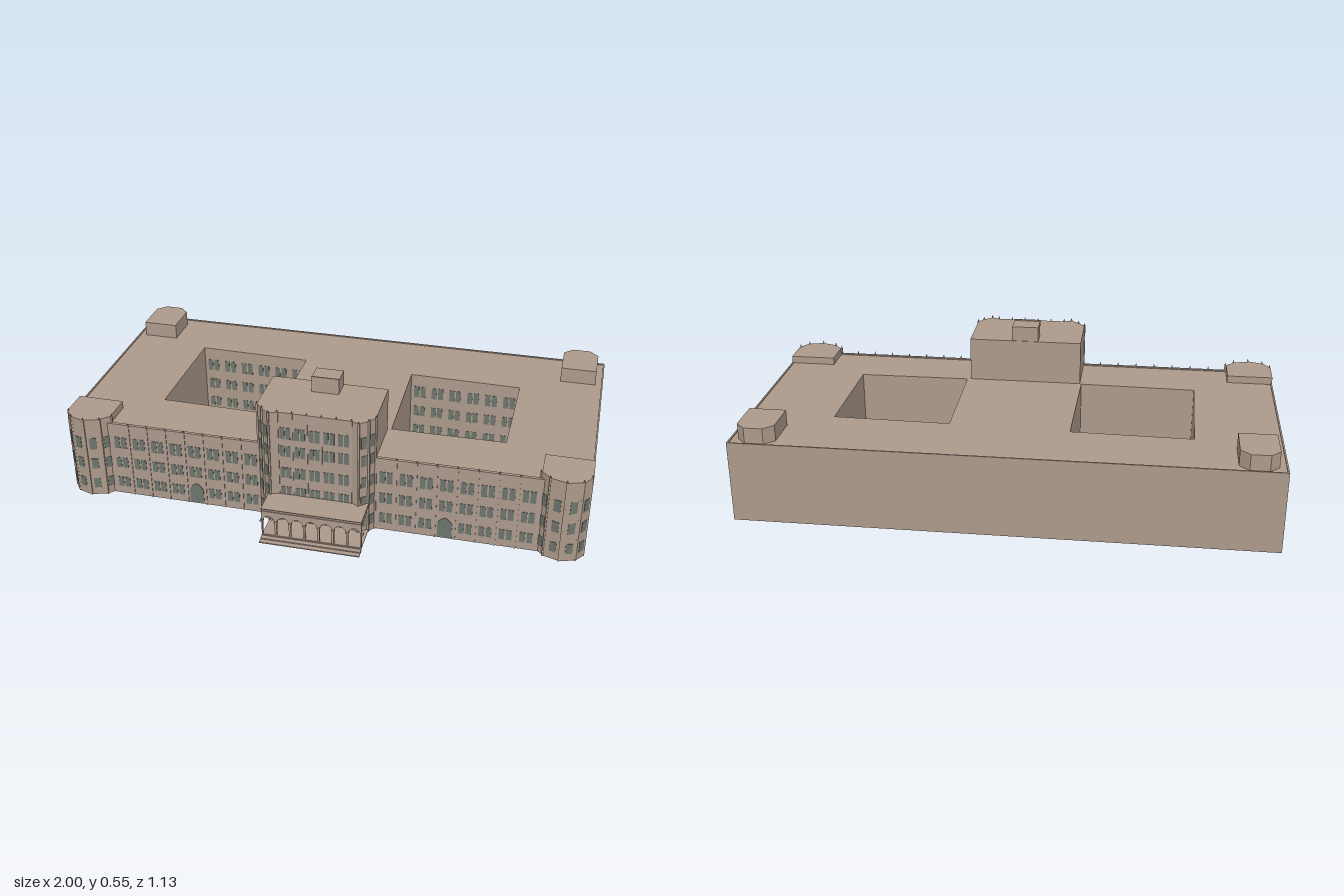
import * as THREE from 'three';

const stone = new THREE.MeshStandardMaterial({ color: 0xad9a8c });
stone.name = 'stone';
const glass = new THREE.MeshStandardMaterial({ color: 0x6c756c });
glass.name = 'glass';

// Prism from a plan outline of [x, z] points, rising from y0 to y1; holes run opposite to the outline
function prism(name, pts, y0, y1, holes = []) {
  const toShape = (list, C) => new C(list.map(([x, z]) => new THREE.Vector2(x, -z)));
  const shape = toShape(pts, THREE.Shape);
  shape.holes = holes.map((h) => toShape([...h].reverse(), THREE.Path));
  const geo = new THREE.ExtrudeGeometry(shape, { depth: y1 - y0, bevelEnabled: false });
  geo.rotateX(-Math.PI / 2).translate(0, y0, 0);
  const mesh = new THREE.Mesh(geo, stone);
  mesh.name = name;
  return mesh;
}

function box(name, x0, x1, y0, y1, z0, z1, mat = stone) {
  const mesh = new THREE.Mesh(new THREE.BoxGeometry(x1 - x0, y1 - y0, z1 - z0), mat);
  mesh.position.set((x0 + x1) / 2, (y0 + y1) / 2, (z0 + z1) / 2);
  mesh.name = name;
  return mesh;
}

// Thin pane centred at fraction t along the wall from a to b
function pane(a, b, t, y0, y1, w) {
  const mesh = box('window', -w / 2, w / 2, y0, y1, -0.0015, 0.0015, glass);
  mesh.position.x = a[0] + (b[0] - a[0]) * t;
  mesh.position.z = a[1] + (b[1] - a[1]) * t;
  mesh.rotation.y = -Math.atan2(b[1] - a[1], b[0] - a[0]);
  return mesh;
}

// Arch outline for doors and arcade openings; lift sets how pointed the crown is
function archPath(C, cx, w, y0, spring, top, lift) {
  const p = new C();
  p.moveTo(cx - w / 2, y0);
  p.lineTo(cx + w / 2, y0);
  p.lineTo(cx + w / 2, spring);
  p.quadraticCurveTo(cx + w / 2, top - lift, cx, top);
  p.quadraticCurveTo(cx - w / 2, top - lift, cx - w / 2, spring);
  p.closePath();
  return p;
}

function door(x, z) {
  const shape = archPath(THREE.Shape, x, 0.055, 0.005, 0.058, 0.092, 0.015);
  const mesh = new THREE.Mesh(new THREE.ExtrudeGeometry(shape, { depth: 0.003, bevelEnabled: false }), glass);
  mesh.position.z = z - 0.001;
  mesh.name = 'door';
  return mesh;
}

// Slim buttress with a pointed finial
function buttress(x, z, h, r) {
  const g = new THREE.Group();
  g.name = 'buttress';
  g.add(box('shaft', x - r, x + r, 0, h, z - r, z + r));
  const tip = new THREE.Mesh(new THREE.ConeGeometry(r * 1.2, 0.012, 4), stone);
  tip.position.set(x, h + 0.006, z);
  tip.name = 'finial';
  g.add(tip);
  return g;
}

export function createModel() {
  const model = new THREE.Group();
  model.name = 'collegeBuilding';
  const rows = [[0.032, 0.075], [0.12, 0.165], [0.208, 0.258]];
  const towerRows = [[0.03, 0.075], [0.12, 0.165], [0.205, 0.25], [0.298, 0.343], [0.373, 0.422]];

  // Main block around two slightly skewed courtyards
  const outline = [[-1, -0.563], [1, -0.563], [1, 0.36], [0.98, 0.372], [-0.98, 0.372], [-1, 0.36]];
  const courts = [
    [[-0.68, -0.318], [-0.225, -0.308], [-0.233, 0.153], [-0.685, 0.143]],
    [[0.23, -0.29], [0.675, -0.281], [0.67, 0.148], [0.235, 0.153]],
  ];
  model.add(prism('mainBlock', outline, 0, 0.311, courts));
  const inner = [[-0.994, -0.557], [0.994, -0.557], [0.994, 0.36], [-0.994, 0.36]];
  model.add(prism('parapet', outline, 0.311, 0.315, [inner]));

  // Courtyard windows on the rear walls
  for (const [a, b] of courts) {
    for (const [y0, y1] of rows) {
      for (let i = 0; i < 6; i++) {
        for (const d of [-0.03, 0.03]) model.add(pane(a, b, (i + 0.5) / 6 + d, y0, y1, 0.021));
      }
    }
  }

  // Front wings: paired windows, doors and buttresses
  const pitch = 0.075;
  for (const s of [-1, 1]) {
    for (let i = 0; i < 8; i++) {
      const x = s * (0.26 + i * pitch);
      rows.forEach(([y0, y1], r) => {
        if (r === 0 && i === 3) return;
        for (const d of [-0.0135, 0.0135]) {
          model.add(box('window', x + d - 0.0105, x + d + 0.0105, y0, y1, 0.371, 0.3735, glass));
        }
      });
      if (i < 7) model.add(buttress(x + s * pitch / 2, 0.372, 0.315, 0.003));
    }
    model.add(door(s * 0.485, 0.372));
  }

  // Corner pavilions with faceted bay fronts
  for (const s of [-1, 1]) {
    let bay = [[-1, 0.356], [-0.972, 0.395], [-0.915, 0.413], [-0.855, 0.395], [-0.82, 0.36]];
    if (s > 0) bay = bay.map(([x, z]) => [-x, z]).reverse();
    const plan = [...bay, [bay[4][0], 0.242], [bay[0][0], 0.242]];
    model.add(prism('cornerPavilion', plan, 0, 0.34));
    for (let i = 0; i < 4; i++) {
      for (const [y0, y1] of rows) model.add(pane(bay[i], bay[i + 1], 0.5, y0, y1, 0.026));
    }
    for (const [x, z] of bay) model.add(buttress(x - s * 0.004, z, 0.34, 0.003));
  }

  // Rear roof turrets with chamfered back corners
  for (const s of [-1, 1]) {
    const plan = [[0.83, -0.376], [0.97, -0.376], [0.97, -0.515], [0.935, -0.55], [0.865, -0.55], [0.83, -0.515]];
    model.add(prism('rearTurret', plan.map(([x, z]) => [s * x, z]), 0.3, 0.372));
  }

  // Central tower with projecting front corners
  const front = [[-0.227, 0.372], [-0.2, 0.4], [-0.168, 0.428], [-0.138, 0.415],
    [0.138, 0.415], [0.168, 0.428], [0.2, 0.4], [0.22, 0.372]];
  model.add(prism('centralTower', [[-0.227, 0.157], ...front, [0.22, 0.157]], 0, 0.484));
  model.add(box('penthouse', -0.055, 0.05, 0.48, 0.543, 0.16, 0.24));
  model.add(box('penthouseCoping', -0.055, 0.05, 0.54, 0.548, 0.236, 0.241));
  for (const [x, z] of front) model.add(buttress(x, z, 0.484, 0.0035));
  for (const [y0, y1] of towerRows) {
    for (let i = -2; i <= 2; i++) {
      if (i === 0 && y0 < 0.1) continue;
      for (const d of [-0.011, 0.011]) {
        const x = i * 0.055 + d;
        model.add(box('window', x - 0.009, x + 0.009, y0, y1, 0.414, 0.4165, glass));
      }
    }
    for (const i of [0, 1, 5, 6]) model.add(pane(front[i], front[i + 1], 0.5, y0, y1, 0.022));
  }
  for (const x of [-0.0825, -0.0275, 0.0275, 0.0825]) model.add(buttress(x, 0.415, 0.484, 0.0025));
  model.add(door(0, 0.415));

  // Entrance porch: thin floor, steps, arcade, ceiling and flat roof
  const porch = new THREE.Group();
  porch.name = 'porch';
  const x0 = -0.178, x1 = 0.203;
  porch.add(box('porchFloor', x0, x1, 0.009, 0.012, 0.4, 0.526));
  porch.add(box('upperStep', x0, x1, 0, 0.008, 0.522, 0.543));
  porch.add(box('lowerStep', x0, x1, 0, 0.004, 0.543, 0.563));
  porch.add(box('porchCeiling', x0, x1, 0.117, 0.119, 0.4, 0.526));
  porch.add(box('porchRoof', x0, x1, 0.128, 0.131, 0.4, 0.528));
  const corners = [[x0, 0.01], [x1, 0.01], [x1, 0.129], [x0, 0.129]];
  const wall = new THREE.Shape(corners.map((p) => new THREE.Vector2(...p)));
  const bayW = (x1 - x0) / 7;
  for (let i = 0; i < 7; i++) {
    wall.holes.push(archPath(THREE.Path, x0 + bayW * (i + 0.5), bayW - 0.008, 0.014, 0.066, 0.096, 0.003));
  }
  const arcadeGeo = new THREE.ExtrudeGeometry(wall, { depth: 0.01, bevelEnabled: false, curveSegments: 6 });
  const arcade = new THREE.Mesh(arcadeGeo, stone);
  arcade.position.z = 0.513;
  arcade.name = 'arcade';
  porch.add(arcade);
  for (let i = 0; i <= 7; i++) {
    const x = x0 + bayW * i;
    porch.add(box('columnCapital', x - 0.006, x + 0.006, 0.07, 0.076, 0.511, 0.526));
  }
  model.add(porch);

  return model;
}
